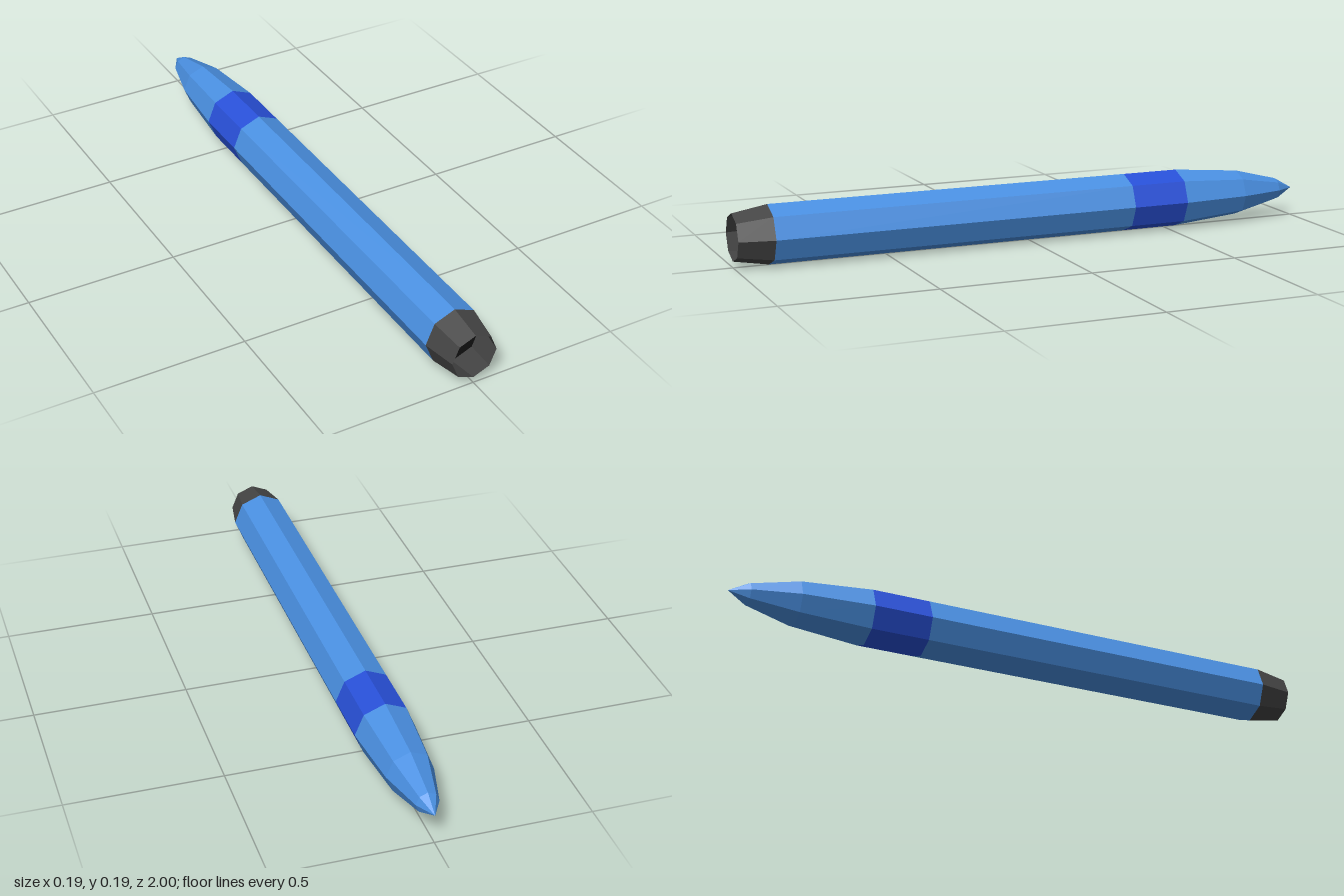
import * as THREE from 'three';

const R = 0.097; // body radius, also the height of the axis
const SIDES = 8;

export function createModel() {
  const group = new THREE.Group();

  const material = (color) => new THREE.MeshStandardMaterial({
    color, flatShading: true, side: THREE.DoubleSide,
  });
  const blue = material(0x4a90e2);
  const darkBlue = material(0x2850d8);
  const grey = material(0x444444);
  const black = material(0x111111);

  function add(name, geometry, mat) {
    const mesh = new THREE.Mesh(geometry, mat);
    mesh.name = name;
    mesh.position.y = R;
    group.add(mesh);
  }

  // Octagonal shell along z from [radius, z] pairs, back to front
  function shell(name, profile, mat) {
    const points = profile.map(([r, z]) => new THREE.Vector2(r, z));
    add(name, new THREE.LatheGeometry(points, SIDES).rotateX(Math.PI / 2), mat);
  }

  // Pointed nose, coloured band and long body
  shell('nose', [[0, -1], [0.037, -0.935], [0.076, -0.78], [R, -0.545]], blue);
  shell('band', [[R, -0.545], [R, -0.35]], darkBlue);
  shell('body', [[R, -0.35], [R, 0.885]], blue);

  // Hollow tapered nozzle with a dark floor inside
  shell('nozzle', [[R, 0.885], [0.077, 1]], grey);
  add('nozzleFloor', new THREE.CircleGeometry(R, SIDES).translate(0, 0, 0.885), black);

  return group;
}
